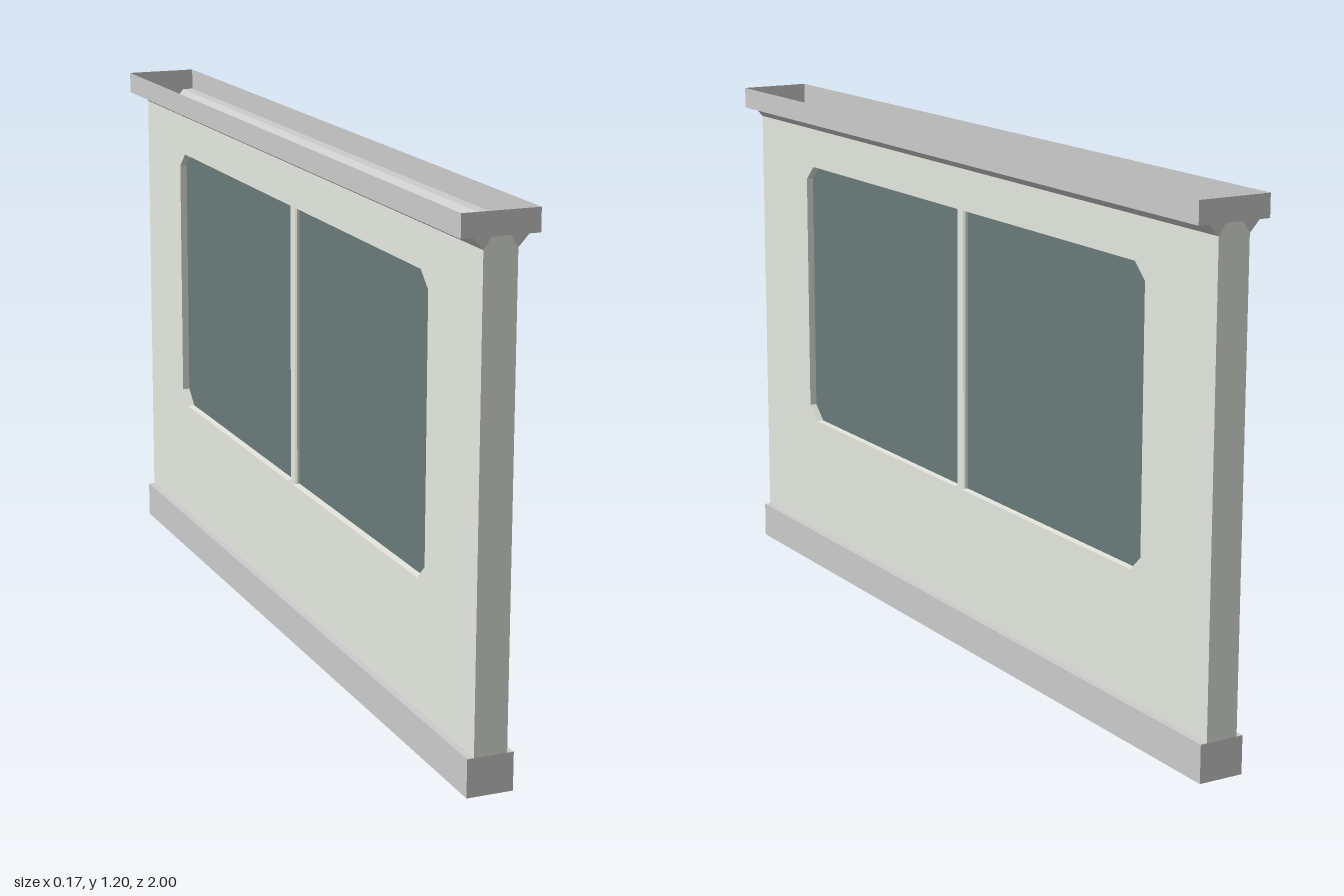
import * as THREE from 'three';

const makeMaterial = (color) =>
  new THREE.MeshStandardMaterial({ color, side: THREE.DoubleSide, flatShading: true });

// Reverses and mirrors a path in its first coordinate, keeping its facing side
const mirror = (path) => path.map(([a, b]) => [-a, b]).reverse();

// Open sheet: a polyline in xy drawn out along z, facing the right of its travel
function sheet(path, z0, z1) {
  const pos = [];
  for (let i = 0; i < path.length - 1; i++) {
    const [p, q] = [path[i], path[i + 1]];
    pos.push(...p, z0, ...q, z0, ...q, z1, ...p, z0, ...q, z1, ...p, z1);
  }
  const geo = new THREE.BufferGeometry();
  geo.setAttribute('position', new THREE.Float32BufferAttribute(pos, 3));
  geo.computeVertexNormals();
  return geo;
}

const flat = (points) => new THREE.Shape(points.map(([a, b]) => new THREE.Vector2(a, b)));

export function createModel() {
  const model = new THREE.Group();
  const trim = makeMaterial(0xcccccc);
  const wall = makeMaterial(0xe5e8df);
  const glass = makeMaterial(0x697b79);

  const add = (name, geo, mat) => {
    const mesh = new THREE.Mesh(geo, mat);
    mesh.name = name;
    model.add(mesh);
    return mesh;
  };
  // Flat profile closing both ends of the length
  const addEnds = (name, points, mat) => {
    for (const turn of [0, Math.PI]) {
      add(name, new THREE.ShapeGeometry(flat(points)).translate(0, 0, 1).rotateY(turn), mat);
    }
  };

  const T = 0.037; // half wall thickness
  const baseTop = 0.085, wallTop = 1.125, capLow = 1.15, top = 1.2;

  // Half outline of the window with cut corners, split at the mullion
  const halfWindow = [
    [0.017, 1.03], [0.715, 1.03], [0.752, 0.995],
    [0.752, 0.41], [0.715, 0.375], [0.017, 0.375],
  ];
  const outline = [...halfWindow, ...mirror(halfWindow)];

  // Wall faces with the window opening, and the two panes behind them
  for (const turn of [Math.PI / 2, -Math.PI / 2]) {
    const face = flat([[-1, baseTop], [1, baseTop], [1, wallTop], [-1, wallTop]]);
    face.holes.push(flat(outline));
    add('wallFace', new THREE.ShapeGeometry(face).translate(0, 0, T).rotateY(turn), wall);
    for (const half of [halfWindow, mirror(halfWindow)]) {
      add('windowPane', new THREE.ShapeGeometry(flat(half)).translate(0, 0, 0.02).rotateY(turn), glass);
    }
  }

  // Window reveals
  for (const half of [halfWindow, mirror(halfWindow)]) {
    add('windowReveal', sheet(half, -T, T).rotateY(Math.PI / 2), wall);
  }

  // Hollow centre mullion with slightly cut edges
  const mullion = [
    [0.03, -0.013], [0.03, 0.013], [0.026, 0.017], [-0.026, 0.017],
    [-0.03, 0.013], [-0.03, -0.013], [-0.026, -0.017], [0.026, -0.017], [0.03, -0.013],
  ];
  add('mullion', sheet(mullion, 0.375, 1.03).rotateX(-Math.PI / 2), wall);

  // Open-topped cap channel and open-bottomed base skirt
  const cap = [[T, wallTop], [0.06, capLow], [0.085, capLow], [0.085, top]];
  const base = [[0.052, 0], [0.052, baseTop], [T, baseTop]];
  for (const side of [(p) => p, mirror]) {
    add('capRail', sheet(side(cap), -1, 1), trim);
    add('baseSkirt', sheet(side(base), -1, 1), trim);
  }

  // End closures
  const shoulder = [[-T, wallTop], [-0.02, capLow], [0.02, capLow], [T, wallTop]];
  addEnds('wallEnd', [[-T, baseTop], [T, baseTop], ...shoulder.slice().reverse()], wall);
  addEnds('capEnd', [...cap, ...mirror(cap), ...shoulder.slice(1, 3)], trim);
  addEnds('baseEnd', [[-0.052, 0], [0.052, 0], [0.052, baseTop], [-0.052, baseTop]], trim);

  return model;
}
